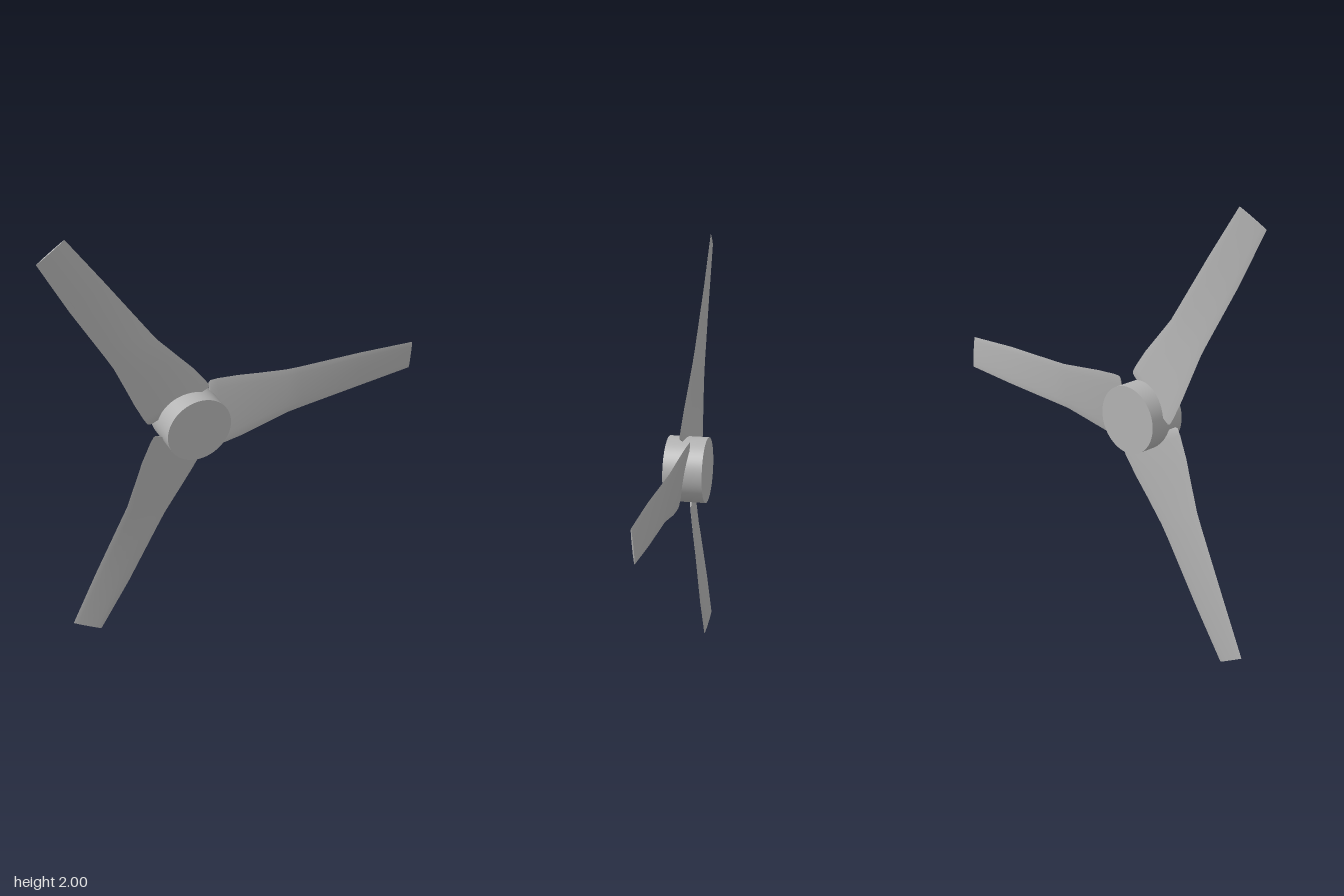
import * as THREE from 'three';
import { toCreasedNormals } from 'three/addons/utils/BufferGeometryUtils.js';

// Blade stations: radius, upper edge, lower edge, z of upper edge, z of lower edge, half thickness
const STATIONS = [
  [0.100, 0.148, -0.145, -0.028, 0.024, 0.004],
  [0.108, 0.156, -0.153, -0.028, 0.024, 0.005],
  [0.14, 0.157, -0.153, -0.027, 0.023, 0.005],
  [0.24, 0.148, -0.142, -0.022, 0.019, 0.005],
  [0.34, 0.134, -0.122, -0.016, 0.015, 0.004],
  [0.47, 0.117, -0.097, -0.010, 0.010, 0.004],
  [0.54, 0.114, -0.092, -0.007, 0.007, 0.003],
  [0.84, 0.108, -0.073, 0.002, -0.002, 0.003],
  [1.11, 0.092, -0.053, 0.007, -0.006, 0.003],
];

// Thin twisted blade running along +x, lofted from lens-shaped sections
function bladeGeometry() {
  const n = 16;
  const positions = [];
  const index = [];
  for (const [r, top, bottom, zTop, zBottom, half] of STATIONS) {
    for (let j = 0; j < n; j++) {
      const a = (j / n) * Math.PI * 2;
      const k = (Math.cos(a) + 1) / 2;
      positions.push(
        r,
        THREE.MathUtils.lerp(bottom, top, k),
        THREE.MathUtils.lerp(zBottom, zTop, k) + half * Math.sin(a),
      );
    }
  }
  const last = (STATIONS.length - 1) * n;
  for (let i = 0; i < STATIONS.length - 1; i++) {
    for (let j = 0; j < n; j++) {
      const a = i * n + j;
      const b = i * n + ((j + 1) % n);
      index.push(a, b, a + n, b, b + n, a + n);
    }
  }
  // Root and tip caps
  for (let j = 1; j < n - 1; j++) {
    index.push(0, j + 1, j);
    index.push(last, last + j, last + j + 1);
  }
  const geometry = new THREE.BufferGeometry();
  geometry.setAttribute('position', new THREE.Float32BufferAttribute(positions, 3));
  geometry.setIndex(index);
  return toCreasedNormals(geometry, Math.PI / 5);
}

export function createModel() {
  const grey = new THREE.MeshStandardMaterial({ color: 0xb2b2b2 });
  grey.name = 'grey';

  const model = new THREE.Group();
  model.name = 'rotor';

  const rotor = new THREE.Group();
  rotor.name = 'hubAndBlades';
  rotor.position.set(-0.24, 1.01, 0);
  model.add(rotor);

  // Hub drum facing front and back
  const hub = new THREE.Mesh(new THREE.CylinderGeometry(0.149, 0.149, 0.178, 64), grey);
  hub.name = 'hub';
  hub.rotation.x = Math.PI / 2;
  rotor.add(hub);

  // Three blades, evenly spaced
  const geometry = bladeGeometry();
  for (let i = 0; i < 3; i++) {
    const blade = new THREE.Mesh(geometry, grey);
    blade.name = `blade${i + 1}`;
    blade.rotation.z = (i * Math.PI * 2) / 3;
    rotor.add(blade);
  }

  return model;
}
